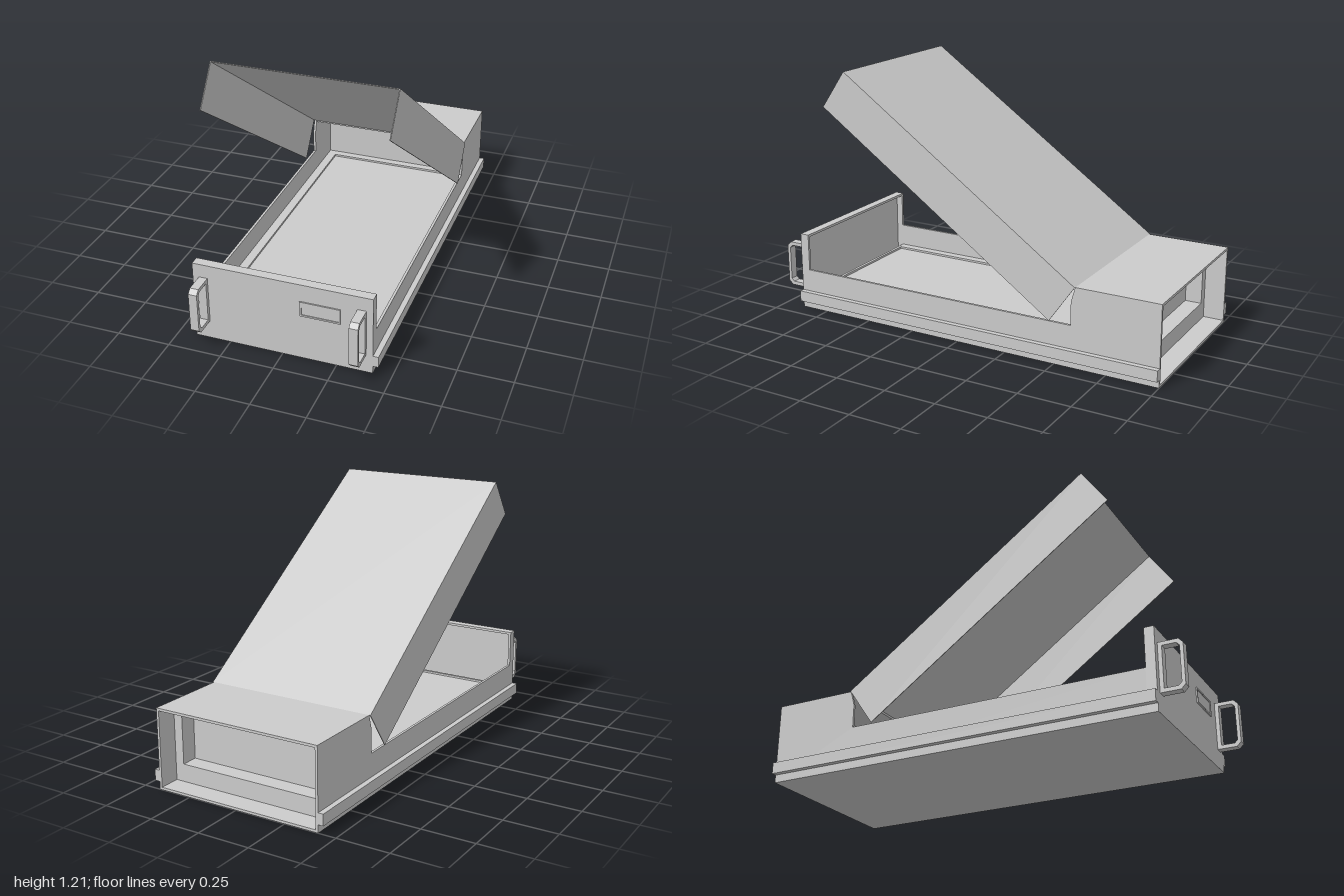
import * as THREE from 'three';

const mat = new THREE.MeshStandardMaterial({ color: 0xcccccc, flatShading: true, side: THREE.DoubleSide });

// Box given by its min and max corners
function box(parent, name, [x0, y0, z0], [x1, y1, z1]) {
  const m = new THREE.Mesh(new THREE.BoxGeometry(x1 - x0, y1 - y0, z1 - z0), mat);
  m.position.set((x0 + x1) / 2, (y0 + y1) / 2, (z0 + z1) / 2);
  m.name = name;
  parent.add(m);
  return m;
}

const polygon = pts => new THREE.Shape(pts.map(p => new THREE.Vector2(...p)));
const rect = (x0, y0, x1, y1) => polygon([[x0, y0], [x1, y0], [x1, y1], [x0, y1]]);

// Rectangle with cut corners
const chamfered = (x0, y0, x1, y1, c) => polygon([
  [x0, y0], [x1 - c, y0], [x1, y0 + c], [x1, y1 - c], [x1 - c, y1], [x0, y1]]);

function extrude(parent, name, shape, hole, depth) {
  if (hole) shape.holes.push(hole);
  const m = new THREE.Mesh(new THREE.ExtrudeGeometry(shape, { depth, bevelEnabled: false }), mat);
  m.name = name;
  parent.add(m);
  return m;
}

export function createModel() {
  const model = new THREE.Group();
  model.name = 'drawerUnit';
  const W = 0.415, T = 0.012, BACK = -1, FRONT = 0.89, H = 0.38;

  // Bottom sheet
  box(model, 'bottom', [-W, 0, BACK], [W, T, FRONT]);

  // Side walls: low along the tray, full height at the rear housing; rails outside
  for (const s of [-1, 1]) {
    const wall = extrude(model, 'sideWall', polygon([
      [BACK, 0], [0.845, 0], [0.845, 0.2], [-0.58, 0.2], [-0.58, 0.31], [-0.6, H], [BACK, H]]), null, T);
    wall.rotation.y = -Math.PI / 2; // shape x becomes z
    wall.position.x = s > 0 ? W : -W + T;
    const xs = [s * W, s * 0.44].sort((a, b) => a - b);
    box(model, 'slideRail', [xs[0], 0.037, BACK], [xs[1], 0.09, FRONT]);
  }

  // Rear housing: top, recessed frame and closing panel
  box(model, 'housingTop', [-W, H - T, BACK], [W, H, -0.6]);
  extrude(model, 'rearFrame', rect(-W + T, T, W - T, H - T),
    rect(-0.36, 0.095, 0.36, 0.325), 0.08).position.z = -0.9;
  box(model, 'rearPanel', [-W + T, T, -0.82], [W - T, H - T, -0.81]);

  // Tray floor with a slightly raised border
  box(model, 'trayFloor', [-W + T, 0.07, -0.81], [W - T, 0.08, 0.845]);
  const border = extrude(model, 'trayBorder', rect(-W + T, -0.845, W - T, 0.81),
    rect(-0.36, -0.83, 0.36, 0.77), 0.01);
  border.rotation.x = -Math.PI / 2; // shape y becomes -z
  border.position.y = 0.08;

  // Front panel: folded sheet, open to the rear
  const panel = new THREE.Group();
  panel.name = 'frontPanel';
  model.add(panel);
  box(panel, 'frontSheet', [-W, 0, FRONT - T], [W, H, FRONT]);
  box(panel, 'topFlange', [-W, H - T, 0.845], [W, H, FRONT - T]);
  box(panel, 'rightFlange', [-W, 0, 0.845], [-W + T, H - T, FRONT - T]);
  box(panel, 'leftFlange', [W - T, 0, 0.845], [W, H - T, FRONT - T]);

  // Handles: closed loops with cut corners
  for (const x of [-0.345, 0.385]) {
    const handle = extrude(model, 'handle', chamfered(0.89, 0.09, 1, 0.315, 0.02),
      chamfered(0.908, 0.108, 0.984, 0.298, 0.014), 0.04);
    handle.rotation.y = -Math.PI / 2;
    handle.position.x = x;
  }

  // Label holder: bevelled frame around a plate
  extrude(model, 'labelFrame', rect(0.085, 0.223, 0.27, 0.296),
    rect(0.093, 0.231, 0.262, 0.288), 0.006).position.z = FRONT;
  box(model, 'labelPlate', [0.093, 0.231, FRONT], [0.262, 0.288, FRONT + 0.002]);

  // Open lid: thin top sheet with two side skirts, tilted about the hinge line
  const lid = new THREE.Group();
  lid.name = 'lid';
  const L = 1.451, D = 0.215, t = 0.004, X = 0.421;
  box(lid, 'lidTop', [-X, -t, 0], [X, 0, L]);
  box(lid, 'lidRightSkirt', [-X, -D, 0], [-X + t, -t, L]);
  box(lid, 'lidLeftSkirt', [X - t, -D, 0], [X, -t, L]);
  lid.position.set(0, H, -0.6);
  lid.rotation.x = -0.609;
  model.add(lid);

  return model;
}
